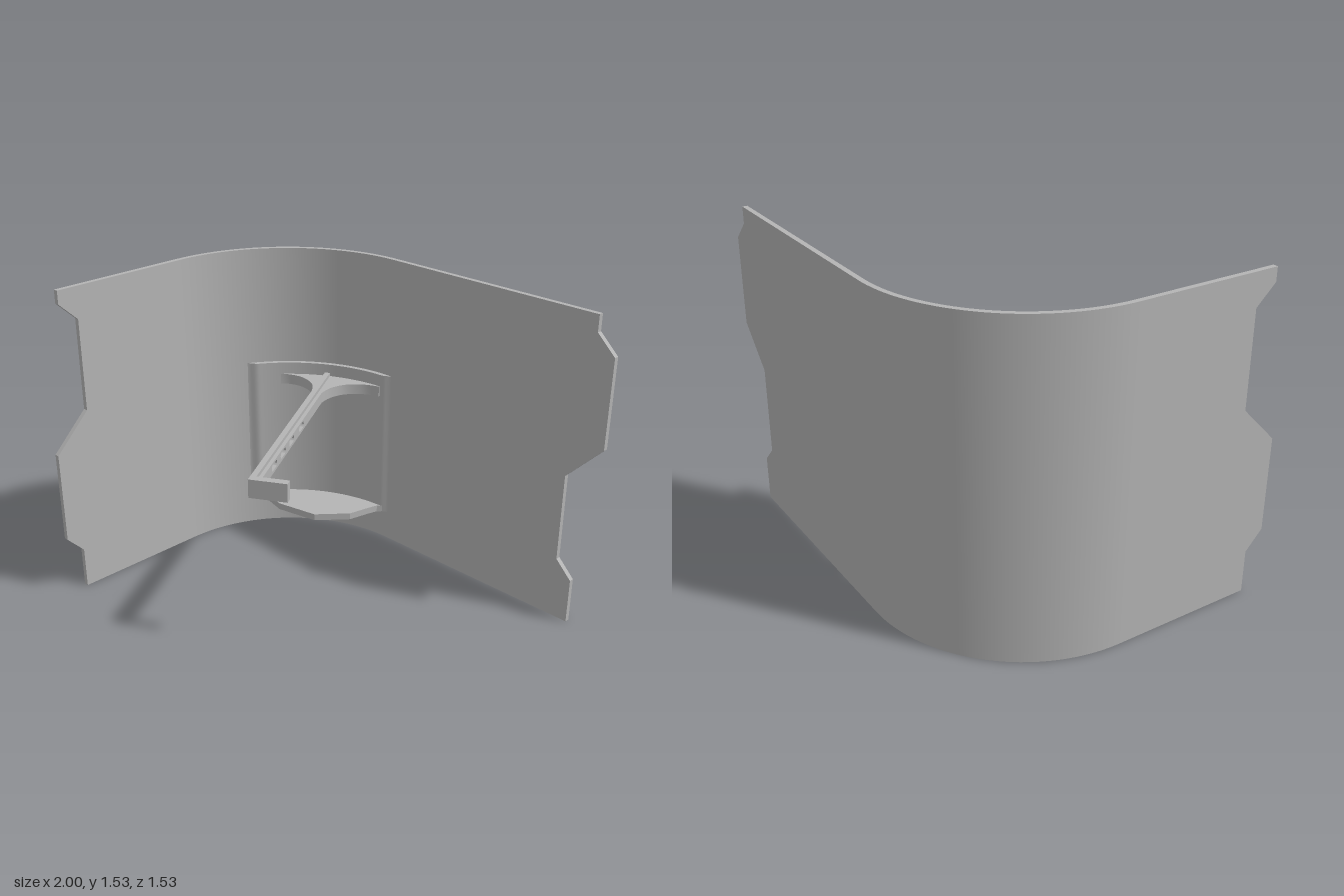
import * as THREE from 'three';
import { toCreasedNormals } from 'three/addons/utils/BufferGeometryUtils.js';

const CX = -0.25, CZ = -0.015;          // centre of the rounded corner
const R_OUT = 0.75, R_IN = 0.726, T = 0.024, H = 1.53;

const rad = THREE.MathUtils.degToRad;
const polar = (r, deg) => [CX + r * Math.cos(rad(deg)), CZ + r * Math.sin(rad(deg))];

// Points along the corner, r may be a number or a function of the angle
function arc(r, a0, a1, n = 40) {
  return Array.from({ length: n + 1 }, (_, i) => {
    const a = a0 + (a1 - a0) * i / n;
    return polar(typeof r === 'function' ? r(a) : r, a);
  });
}

function spline(points, n = 16) {
  const v = points.map(([x, z]) => new THREE.Vector2(x, z));
  return new THREE.SplineCurve(v).getPoints(n).map(p => [p.x, p.y]);
}

const toShape = pts => new THREE.Shape(pts.map(([x, y]) => new THREE.Vector2(x, y)));

const extrude = (shape, depth) => toCreasedNormals(
  new THREE.ExtrudeGeometry(shape, { depth, bevelEnabled: false, curveSegments: 8 }), 0.5);

// Plan outline in (x, z) raised from y0 to y1
function plan(pts, y0, y1) {
  return extrude(toShape(pts.map(([x, z]) => [x, -z])), y1 - y0)
    .rotateX(-Math.PI / 2).translate(0, y0, 0);
}

// Rounded slot outline
function slot(x, y, length, height) {
  const p = new THREE.Path(), r = height / 2, h = length / 2 - r;
  p.absarc(x + h, y, r, -Math.PI / 2, Math.PI / 2, false);
  p.absarc(x - h, y, r, Math.PI / 2, Math.PI * 1.5, false);
  p.closePath();
  return p;
}

function slottedBar(length, y0, y1, depth, slots) {
  const s = toShape([[0, y0], [length, y0], [length, y1], [0, y1]]);
  for (const [x, l, h] of slots) s.holes.push(slot(x, 0.843, l, h));
  return extrude(s, depth);
}

export function createModel() {
  const model = new THREE.Group();
  model.name = 'cornerPanel';
  const grey = new THREE.MeshStandardMaterial({ color: 0xb4b4b4 });
  grey.name = 'plainGrey';
  const add = (name, geometry, parent = model) => {
    const m = new THREE.Mesh(geometry, grey);
    m.name = name;
    parent.add(m);
    return m;
  };

  // Wall: two flat wings with notched ends and a rounded corner
  add('backWall', extrude(toShape([
    [CX, 0], [0.905, 0], [0.905, 0.225], [0.82, 0.31], [0.82, 0.745],
    [1, 0.93], [1, 1.36], [0.905, 1.45], [0.905, H], [CX, H],
  ]), T).translate(0, 0, -0.765));
  add('sideWall', extrude(toShape([
    [CZ, 0], [0.68, 0], [0.68, 0.205], [0.765, 0.295], [0.765, 0.745],
    [0.585, 0.925], [0.585, 1.375], [0.68, 1.465], [0.68, H], [CZ, H],
  ]), T).rotateY(-Math.PI / 2).translate(-1 + T, 0, 0));
  add('cornerWall', plan([...arc(R_OUT, 180, 270), ...arc(R_IN, 270, 180)], 0, H));

  // Liner on the inside of the corner, feathered at both edges
  const liner = a => {
    const t = THREE.MathUtils.smoothstep(Math.min(a - 207, 272 - a), 0, 5);
    return 0.728 - 0.026 * t;
  };
  add('liner', plan([...arc(0.735, 207, 272), ...arc(liner, 272, 207, 65)], 0.155, 0.93));

  // Bottom shelf
  add('shelf', plan([
    ...arc(0.735, 208, 271),
    [-0.26, -0.73], [-0.285, -0.705], [-0.3, -0.65], [-0.325, -0.54], [-0.45, -0.40],
    [-0.67, -0.355], [-0.835, -0.395], [-0.87, -0.385],
  ], 0.155, 0.19));

  // Curved gussets either side of the arm
  add('leftGusset', plan([
    ...arc(0.71, 216, 241, 14),
    ...spline([[-0.48, -0.41], [-0.56, -0.495], [-0.66, -0.525], [-0.75, -0.50], [-0.82, -0.435]]),
  ], 0.815, 0.868));
  add('rightGusset', plan([
    ...arc(0.71, 266.5, 239, 14),
    ...spline([[-0.44, -0.44], [-0.455, -0.52], [-0.435, -0.605], [-0.37, -0.675], [-0.295, -0.71]]),
  ], 0.815, 0.868));

  // Slotted arm: plate, stiffening rib and end hook
  const arm = new THREE.Group();
  arm.name = 'arm';
  arm.position.set(-0.6, 0, -0.63);
  arm.rotation.y = -Math.PI / 3;
  model.add(arm);
  const slots = [0.61, 0.775, 0.91, 1.045].map(x => [x, 0.08, 0.03]);
  add('armPlate', slottedBar(1.281, 0.797, 0.885, 0.027, [...slots, [1.2, 0.0201, 0.02]]), arm)
    .position.z = -0.027;
  add('armRib', slottedBar(1.245, 0.815, 0.868, 0.018, [...slots, [1.2, 0.0201, 0.02]]), arm)
    .position.z = -0.045;
  add('armHook', new THREE.BoxGeometry(0.036, 0.088, 0.148), arm)
    .position.set(1.263, 0.841, -0.101);

  return model;
}
